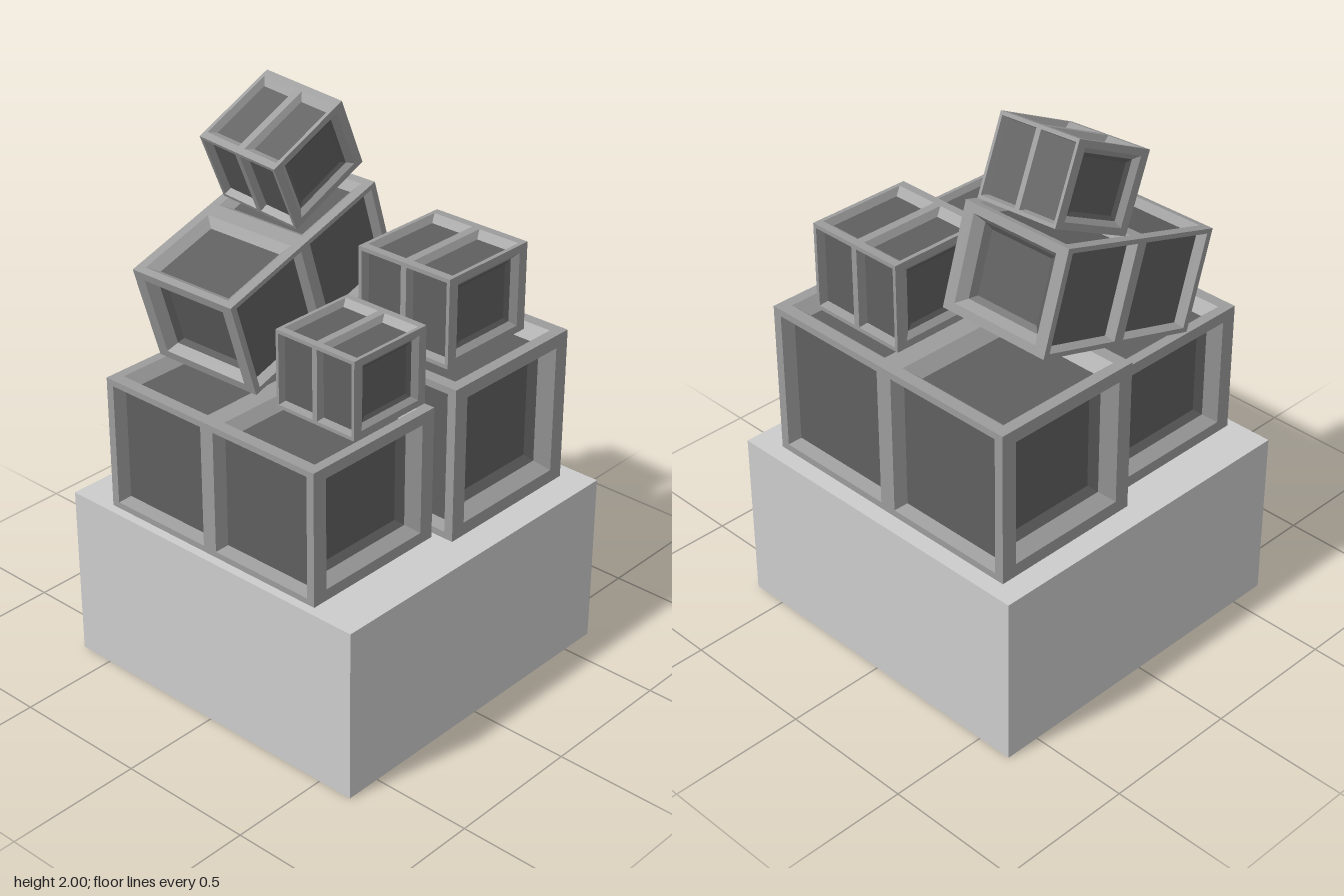
import * as THREE from 'three';
import { mergeGeometries } from 'three/addons/utils/BufferGeometryUtils.js';

const deg = Math.PI / 180;

// Corners of a rectangle {x0, x1, y0, y1} shrunk by ix, iy and sunk to depth z
function corners(r, ix, iy, z) {
  return [
    [r.x0 + ix, r.y0 + iy, z], [r.x1 - ix, r.y0 + iy, z],
    [r.x1 - ix, r.y1 - iy, z], [r.x0 + ix, r.y1 - iy, z],
  ];
}

function finish(positions) {
  const g = new THREE.BufferGeometry();
  g.setAttribute('position', new THREE.Float32BufferAttribute(positions, 3));
  g.computeVertexNormals();
  return g;
}

// Four sloping walls from an outer rectangle down to an inner one
function slope(outer, inner) {
  const p = [];
  for (let i = 0; i < 4; i++) {
    const j = (i + 1) % 4;
    p.push(...outer[i], ...outer[j], ...inner[j], ...outer[i], ...inner[j], ...inner[i]);
  }
  return finish(p);
}

function quad(c) {
  return finish([...c[0], ...c[1], ...c[2], ...c[0], ...c[2], ...c[3]]);
}

// Flat frame around the openings of one unit-cube face
function frameFace(openings) {
  const shape = new THREE.Shape([[-0.5, -0.5], [0.5, -0.5], [0.5, 0.5], [-0.5, 0.5]].map((p) => new THREE.Vector2(...p)));
  for (const r of openings) {
    shape.holes.push(new THREE.Path(corners(r, 0, 0, 0).reverse().map((c) => new THREE.Vector2(c[0], c[1]))));
  }
  const flat = new THREE.ShapeGeometry(shape).toNonIndexed().translate(0, 0, 0.5);
  flat.deleteAttribute('uv');
  return flat;
}

// One crate face: frame with bevelled openings, and the sunken panels
function crateFace({ openings, inset, depth, dish }) {
  const frame = [frameFace(openings)];
  const panels = [];
  const [ix, iy] = inset;
  for (const r of openings) {
    const rim = corners(r, 0, 0, 0.5);
    const floor = corners(r, ix, iy, 0.5 - depth);
    frame.push(slope(rim, floor));
    if (dish) {
      const low = corners(r, ix + 0.05, iy + 0.05, 0.5 - depth - dish);
      panels.push(slope(floor, low), quad(low));
    } else panels.push(quad(floor));
  }
  return { frame: mergeGeometries(frame), panels: mergeGeometries(panels) };
}

// Two openings side by side, mirrored about the middle bar
function pair(margin, halfBar, my) {
  return [
    { x0: -0.5 + margin, x1: -halfBar, y0: -0.5 + my, y1: 0.5 - my },
    { x0: halfBar, x1: 0.5 - margin, y0: -0.5 + my, y1: 0.5 - my },
  ];
}

// Unit crate: divided long sides and lids, single dished panel on each end
function crateGeometry() {
  const side = { openings: pair(0.032, 0.03, 0.045), inset: [0.012, 0.02], depth: 0.08 };
  const lid = { openings: pair(0.038, 0.04, 0.077), inset: [0.04, 0.075], depth: 0.07 };
  const end = { openings: [{ x0: -0.4, x1: 0.4, y0: -0.415, y1: 0.415 }], inset: [0.06, 0.06], depth: 0.045, dish: 0.02 };
  const faces = [
    [side, 0, 0], [side, 0, Math.PI], [end, 0, Math.PI / 2], [end, 0, -Math.PI / 2],
    [lid, -Math.PI / 2, 0], [lid, Math.PI / 2, 0],
  ];
  const frame = [];
  const panels = [];
  for (const [spec, rx, ry] of faces) {
    const f = crateFace(spec);
    frame.push(f.frame.rotateX(rx).rotateY(ry));
    panels.push(f.panels.rotateX(rx).rotateY(ry));
  }
  return { frame: mergeGeometries(frame), panels: mergeGeometries(panels) };
}

export function createModel() {
  const model = new THREE.Group();
  model.name = 'crateStack';

  const baseGrey = new THREE.MeshStandardMaterial({ color: 0xcccccc });
  baseGrey.name = 'light grey';
  const frameGrey = new THREE.MeshStandardMaterial({ color: 0x9c9c9c });
  frameGrey.name = 'middle grey';
  const panelGrey = new THREE.MeshStandardMaterial({ color: 0x5f5f5f });
  panelGrey.name = 'dark grey';

  // Plinth
  const base = new THREE.Mesh(new THREE.BoxGeometry(1.265, 0.635, 1.265), baseGrey);
  base.name = 'base';
  base.position.y = 0.3175;
  model.add(base);

  // Crates: name, size, centre, rotation
  const { frame, panels } = crateGeometry();
  const crates = [
    ['backLargeCrate', [1.065, 0.565, 0.58], [-0.0125, 0.9175, -0.28], [0, 0, 0]],
    ['frontLargeCrate', [0.925, 0.487, 0.568], [-0.0125, 0.8785, 0.316], [0, 0, 0]],
    ['backSmallCrate', [0.387, 0.32, 0.395], [0.215, 1.36, -0.278], [0, 0, 0]],
    ['frontSmallCrate', [0.333, 0.28, 0.34], [0.242, 1.262, 0.2], [0, 0, 0]],
    ['leaningCrate', [0.72, 0.365, 0.44], [-0.252, 1.402, 0.07], [17 * deg, 90.8 * deg, 0, 'XYZ']],
    ['topCrate', [0.333, 0.28, 0.34], [-0.275, 1.79, -0.033], [25.5 * deg, 0, -4 * deg, 'ZYX']],
  ];
  for (const [name, size, centre, turn] of crates) {
    const crate = new THREE.Group();
    crate.name = name;
    const frameMesh = new THREE.Mesh(frame, frameGrey);
    frameMesh.name = 'frame';
    const panelMesh = new THREE.Mesh(panels, panelGrey);
    panelMesh.name = 'panels';
    crate.add(frameMesh, panelMesh);
    crate.scale.set(...size);
    crate.position.set(...centre);
    crate.rotation.set(...turn);
    model.add(crate);
  }
  return model;
}
